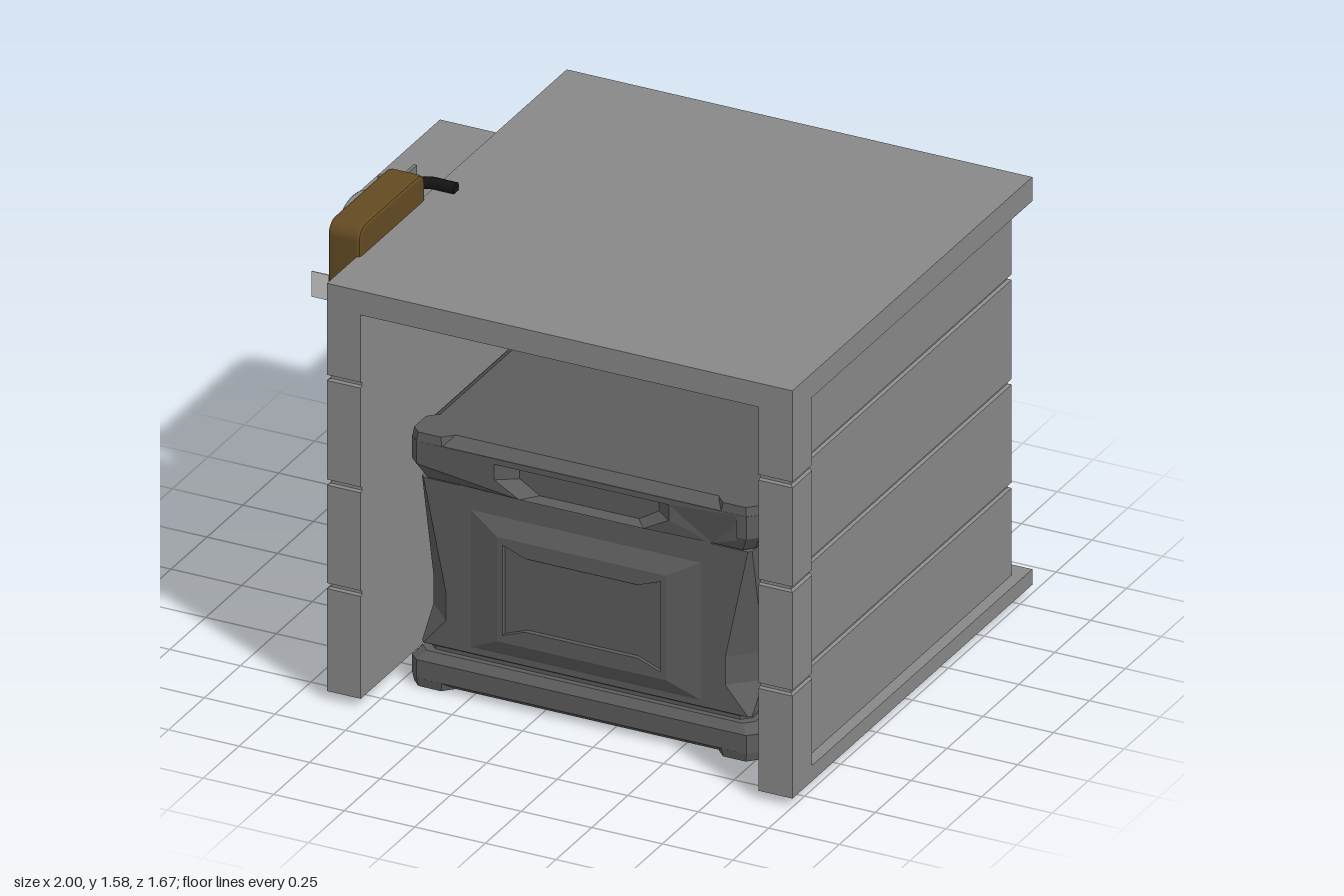
import * as THREE from 'three';

const GREY = 0x888888, CRATE = 0x5c5c5c, BROWN = 0x634a22, BLACK = 0x141414;

function add(parent, name, geometry, color = GREY, pos = [0, 0, 0], flat = true) {
  const material = new THREE.MeshStandardMaterial({ color, flatShading: flat });
  const mesh = new THREE.Mesh(geometry, material);
  mesh.name = name;
  mesh.position.set(...pos);
  parent.add(mesh);
  return mesh;
}

// Closed solid through plan outlines [y, [[x, z], ...]] stacked upwards
function loft(levels) {
  const flat = ([, pts]) => pts.map(([x, z]) => new THREE.Vector2(x, -z));
  if (THREE.ShapeUtils.area(flat(levels[0])) < 0) {
    levels = levels.map(([y, pts]) => [y, [...pts].reverse()]);
  }
  const n = levels[0][1].length, pos = [], index = [];
  for (const [y, pts] of levels) for (const [x, z] of pts) pos.push(x, y, z);
  for (let k = 0; k < levels.length - 1; k++) {
    for (let i = 0; i < n; i++) {
      const a = k * n + i, b = k * n + (i + 1) % n;
      index.push(a, b, b + n, a, b + n, a + n);
    }
  }
  const last = levels.length - 1;
  for (const [a, b, c] of THREE.ShapeUtils.triangulateShape(flat(levels[0]), [])) index.push(a, c, b);
  for (const [a, b, c] of THREE.ShapeUtils.triangulateShape(flat(levels[last]), [])) {
    index.push(last * n + a, last * n + b, last * n + c);
  }
  const g = new THREE.BufferGeometry();
  g.setAttribute('position', new THREE.Float32BufferAttribute(pos, 3));
  g.setIndex(index);
  const out = g.toNonIndexed();
  out.computeVertexNormals();
  return out;
}

// Heights and insets of the three horizontal grooves: [y, inset]
const grooves = [0.403, 0.77, 1.141].flatMap(y =>
  [[y - 0.01, 0], [y - 0.005, 0.01], [y + 0.005, 0.01], [y + 0.01, 0]]);

// Square plan of half width h with corners cut by c, centred on (m, m)
const oct = (h, c, m = 0) => [[h, h - c], [h, c - h], [h - c, -h], [c - h, -h],
  [-h, c - h], [-h, h - c], [c - h, h], [h - c, h]].map(([x, z]) => [x + m, z + m]);

// Wall plan: open bay at the front, recessed side and back panels
const wallPlan = g => [[0.88, 0.835 - g], [1 - g, 0.835 - g], [1 - g, 0.7], [0.96 - g, 0.66],
  [0.96 - g, g - 0.77], [0.065, g - 0.77], [0.04, g - 0.835], [-0.24, g - 0.835], [-0.267, g - 0.77],
  [g - 0.61, g - 0.77], [g - 0.61, 0.66], [g - 0.65, 0.7], [g - 0.65, 0.835 - g],
  [-0.53, 0.835 - g], [-0.53, -0.7], [0.88, -0.7]];

// Annex plan: d is the depth of the outer side panel, c the end chamfer
const annexPlan = (g, d, c = 0) => [[-0.6, -0.7 + g + c], [-1 + g, -0.7 + g + c],
  [-1 + g, -0.64 + c], [-1 + g + d, -0.64 + c], [-1 + g + d, -0.06 - c], [-1 + g, -0.06 - c],
  [-1 + g, -g - c], [-0.6, -g - c]];

function buildShelter() {
  const shelter = new THREE.Group();
  shelter.name = 'shelter';
  add(shelter, 'walls', loft([[0.08, 0], ...grooves, [1.4, 0]].map(([y, g]) => [y, wallPlan(g)])));
  const rim = [[0.88, 0.835], [1, 0.835], [1, -0.835], [-0.65, -0.835], [-0.65, 0.835],
    [-0.53, 0.835], [-0.53, -0.7], [0.88, -0.7]];
  add(shelter, 'baseRim', loft([[0.03, rim], [0.085, rim]]));
  add(shelter, 'roof', new THREE.BoxGeometry(1.65, 0.085, 1.67), GREY, [0.175, 1.4325, 0]);
  const low = [[0.03, 0], ...grooves.slice(0, 8), [1.08, 0]].map(([y, g]) => [y, annexPlan(g, 0.03)]);
  const high = [[1.08, 0], ...grooves.slice(8), [1.245, 0]].map(([y, g]) => [y, annexPlan(g, 0)]);
  add(shelter, 'sideAnnex', loft([...low, ...high, [1.305, annexPlan(0, 0, 0.06)]]));
  return shelter;
}

// Lid side: hanging centre, handle slot narrowing inwards, lower edge leaning in
function lidSideGeometry() {
  const points = list => list.map(p => new THREE.Vector2(...p));
  const side = new THREE.Shape(points([[-0.585, 0.87], [-0.585, 0.79], [-0.555, 0.735], [-0.45, 0.735],
    [-0.34, 0.67], [0.34, 0.67], [0.45, 0.735], [0.555, 0.735], [0.585, 0.79], [0.585, 0.87]]));
  side.holes.push(new THREE.Path(points([[-0.31, 0.85], [0.31, 0.85], [0.31, 0.795], [0.22, 0.745],
    [-0.22, 0.745], [-0.31, 0.795]])));
  const g = new THREE.ExtrudeGeometry(side, { depth: 0.065, bevelEnabled: false });
  const p = g.attributes.position;
  for (let i = 0; i < p.count; i++) {
    const x = p.getX(i), y = p.getY(i), inSlot = Math.abs(x) < 0.32 && y > 0.74 && y < 0.86;
    if (p.getZ(i) > 0.01) {
      if (!inSlot) p.setZ(i, 0.065 - 0.027 * THREE.MathUtils.clamp((0.79 - y) / 0.055, 0, 1));
    } else if (inSlot) {
      p.setXY(i, x * 0.76, 0.745 + (y - 0.745) * 0.85);
    }
  }
  g.computeVertexNormals();
  return g;
}

function buildCrate() {
  const crate = new THREE.Group();
  crate.name = 'crate';
  crate.position.set(0.145, 0, 0.01);
  const part = (name, rows) =>
    add(crate, name, loft(rows.map(([y, h, c]) => [y, oct(h, c)])), CRATE);
  part('crateBase', [[0, 0.575, 0.03], [0.03, 0.615, 0.03], [0.095, 0.615, 0.03], [0.122, 0.59, 0.03]]);
  part('crateBody', [[0.1, 0.57, 0.03], [0.135, 0.57, 0.03], [0.145, 0.585, 0.01], [0.24, 0.585, 0.09],
    [0.34, 0.585, 0.09], [0.73, 0.585, 0.01]]);
  part('lidCore', [[0.72, 0.56, 0.02], [0.868, 0.56, 0.02]]);
  part('lidTop', [[0.868, 0.615, 0.03], [0.9, 0.575, 0.03]]);

  const sideGeo = lidSideGeometry();
  const corner = d => [[0.55, 0.55], [0.55, 0.615 - d], [0.585 - d, 0.615 - d],
    [0.615 - d, 0.585 - d], [0.615 - d, 0.55]];
  const cornerGeo = loft([[0.735, corner(0.027)], [0.79, corner(0)], [0.87, corner(0)]]);

  // Raised front and back panel with a sunken middle, lofted outwards
  const plate = (x, y, d) => [[-x, -y], [0.08 - x, d - y], [x - 0.08, d - y], [x, -y],
    [x, y], [x - 0.08, y - d], [0.08 - x, y - d], [-x, y]];
  const panelGeo = loft([[0, plate(0.41, 0.245, 0)], [0.03, plate(0.3, 0.185, 0)],
    [0.03, plate(0.28, 0.16, 0.03)], [0.022, plate(0.275, 0.155, 0.03)]]);
  panelGeo.rotateX(Math.PI / 2);
  const foot = h => oct(h, 0.03, 0.54);
  const footGeo = loft([[0, foot(0.07)], [0.032, foot(0.075)]]);
  const capGeo = loft([[0.866, foot(0.075)], [0.9, foot(0.07)]]);

  for (let i = 0; i < 4; i++) {
    const quarter = new THREE.Group();
    quarter.name = 'crateSide';
    quarter.rotation.y = i * Math.PI / 2;
    add(quarter, 'lidSide', sideGeo, CRATE, [0, 0, 0.55]);
    add(quarter, 'lidCorner', cornerGeo, CRATE);
    add(quarter, 'foot', footGeo, CRATE);
    add(quarter, 'lidCornerCap', capGeo, CRATE);
    if (i % 2 === 0) add(quarter, 'facePanel', panelGeo, CRATE, [0, 0.41, 0.584]);
    crate.add(quarter);
  }
  return crate;
}

function buildWallUnit() {
  const unit = new THREE.Group();
  unit.name = 'wallUnit';
  // Rounded housing
  const w = 0.216, h = 0.166, r = 0.035;
  const s = new THREE.Shape();
  [[w - r, r - h, -90], [w - r, h - r, 0], [r - w, h - r, 90], [r - w, r - h, 180]].forEach(([x, y, a]) =>
    s.absarc(x, y, r, a * Math.PI / 180, (a + 90) * Math.PI / 180));
  const housing = new THREE.ExtrudeGeometry(s, {
    depth: 0.092, bevelSize: 0.012, bevelThickness: 0.012, bevelSegments: 2, curveSegments: 5 });
  housing.rotateY(-Math.PI / 2);
  add(unit, 'housing', housing, BROWN, [-0.65, 1.398, 0.4]);

  // Round grille with slats and centre knob, axis along x
  const grille = new THREE.Group();
  grille.name = 'grille';
  grille.position.set(-0.755, 1.4, 0.4);
  unit.add(grille);
  const disc = (name, r0, r1, len, x, color) => add(grille, name,
    new THREE.CylinderGeometry(r0, r1, len, 28).rotateZ(Math.PI / 2), color, [x, 0, 0]);
  disc('backPlate', 0.155, 0.165, 0.016, -0.004, 0x777777);
  add(grille, 'ring', new THREE.TorusGeometry(0.155, 0.011, 6, 32).rotateY(Math.PI / 2), GREY,
    [-0.014, 0, 0], false);
  for (let i = -4; i <= 4; i++) {
    const y = i * 0.032, len = 2 * Math.sqrt(0.155 ** 2 - y * y);
    add(grille, 'slat', new THREE.BoxGeometry(0.014, 0.014, len), 0xaaaaaa, [-0.015, y, 0]).rotation.z = 0.4;
  }
  disc('knobStem', 0.014, 0.014, 0.04, -0.035, 0x444444);
  disc('knob', 0.027, 0.027, 0.014, -0.038, 0x444444);
  disc('knobTip', 0.022, 0.022, 0.012, -0.058, 0x444444);

  // Bent cable, latch plates and hanging pins
  const path = new THREE.CatmullRomCurve3([[-0.7, 0.19], [-0.7, 0.13], [-0.69, 0.1], [-0.66, 0.085],
    [-0.62, 0.085], [-0.575, 0.085]].map(([x, z]) => new THREE.Vector3(x, 1.488, z)));
  add(unit, 'cable', new THREE.TubeGeometry(path, 24, 0.021, 8), BLACK, [0, 0, 0], false);
  add(unit, 'cableEnd', new THREE.CylinderGeometry(0.021, 0.021, 0.004, 8).rotateZ(Math.PI / 2),
    BLACK, [-0.576, 1.488, 0.085]);
  add(unit, 'frontTab', new THREE.BoxGeometry(0.06, 0.09, 0.004), 0xcccccc, [-0.79, 1.33, 0.605]);
  add(unit, 'rearTab', new THREE.BoxGeometry(0.05, 0.13, 0.015), 0x777777, [-0.785, 1.45, 0.16]);
  add(unit, 'cableTab', new THREE.BoxGeometry(0.012, 0.045, 0.07), 0x777777, [-0.733, 1.5, 0.09]);
  for (const z of [0.26, 0.52]) {
    add(unit, 'pin', new THREE.CylinderGeometry(0.007, 0.007, 0.09, 8), GREY, [-0.655, 1.18, z]);
  }
  return unit;
}

export function createModel() {
  const model = new THREE.Group();
  model.name = 'shelterWithCrate';
  model.add(buildShelter(), buildCrate(), buildWallUnit());
  return model;
}
